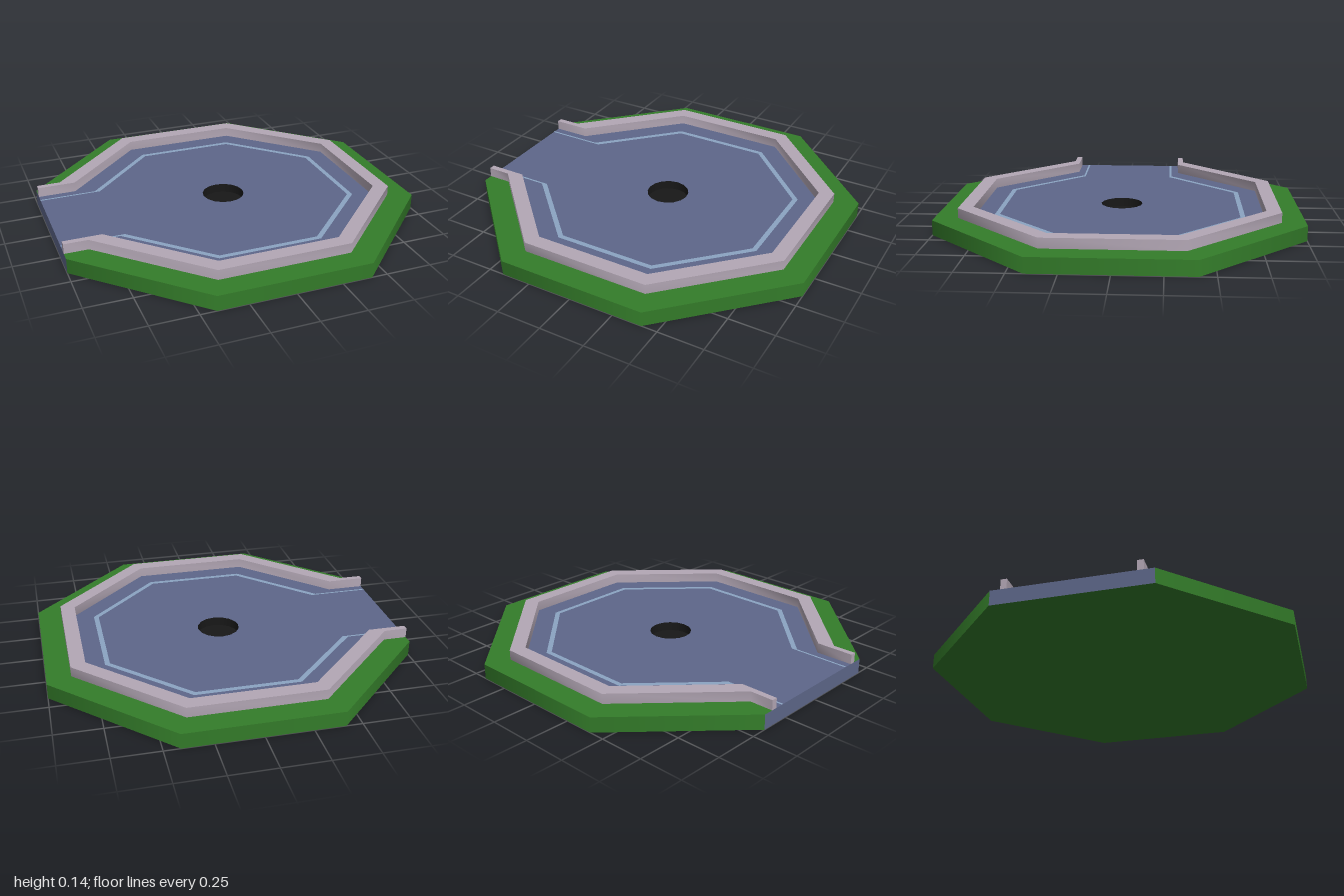
import * as THREE from 'three';
import { toCreasedNormals } from 'three/addons/utils/BufferGeometryUtils.js';

const T = Math.tan(Math.PI / 8);
const BASE_H = 0.083, WALL_H = 0.055, HOLE_R = 0.118, HOLE_D = 0.05;

const mat = (color, side = THREE.FrontSide) => new THREE.MeshStandardMaterial({ color, side });

// Octagon outline of apothem a, left open towards -x by a straight channel
function outline(a) {
  const h = a * T;
  const half = [[-1, h], [-a, h], [-h, a], [h, a], [a, h]];
  const pts = [...half, ...half.map(([x, y]) => [x, -y]).reverse()];
  return (a === 1 ? pts.slice(1, -1) : pts).map(([x, y]) => new THREE.Vector2(x, y));
}

// C-shaped strip between two outlines
const band = (outer, inner) => new THREE.Shape([...outline(outer), ...outline(inner).reverse()]);

const flat = (shape) => new THREE.ShapeGeometry(shape, 8).rotateX(-Math.PI / 2);

export function createModel() {
  const group = new THREE.Group();
  const add = (name, geometry, material, y = 0, x = 0) => {
    const mesh = new THREE.Mesh(geometry, material);
    mesh.name = name;
    mesh.position.set(x, y, 0);
    group.add(mesh);
  };
  const green = mat(0x347d2a), blue = mat(0x5e678a), pink = mat(0xb3a7b5);
  const pale = mat(0x8ba4c2), black = mat(0x181818);
  const R = 1 / Math.cos(Math.PI / 8);

  // Base: seven green sides, underside and top rim
  add('baseSides', new THREE.CylinderGeometry(R, R, BASE_H, 7, 1, true,
    Math.PI * 1.625, Math.PI * 1.75), green, BASE_H / 2);
  add('baseUnderside', new THREE.CircleGeometry(R, 8, Math.PI / 8).rotateX(Math.PI / 2), green);
  add('baseRim', flat(band(1, 0.87)), green, BASE_H);

  // Eighth side, at the open end of the channel
  add('entranceSide', new THREE.PlaneGeometry(2 * T, BASE_H).rotateY(-Math.PI / 2),
    blue, BASE_H / 2, -1);

  // Floor with the round hole
  const floor = new THREE.Shape(outline(0.87));
  floor.holes.push(new THREE.Path().absarc(0, 0, HOLE_R, 0, Math.PI * 2, true));
  add('floor', flat(floor), blue, BASE_H);
  add('holeSide', new THREE.CylinderGeometry(HOLE_R, HOLE_R, HOLE_D, 16, 1, true),
    mat(0x181818, THREE.BackSide), BASE_H - HOLE_D / 2);
  add('holeBottom', new THREE.CircleGeometry(HOLE_R, 16).rotateX(-Math.PI / 2),
    black, BASE_H - HOLE_D);

  // Painted line on the floor
  add('floorLine', flat(band(0.685, 0.658)), pale, BASE_H + 0.001);

  // Raised border wall
  const wall = new THREE.ExtrudeGeometry(band(0.87, 0.79), { depth: WALL_H, bevelEnabled: false });
  add('borderWall', toCreasedNormals(wall.rotateX(-Math.PI / 2), Math.PI * 0.28), pink, BASE_H);

  return group;
}
